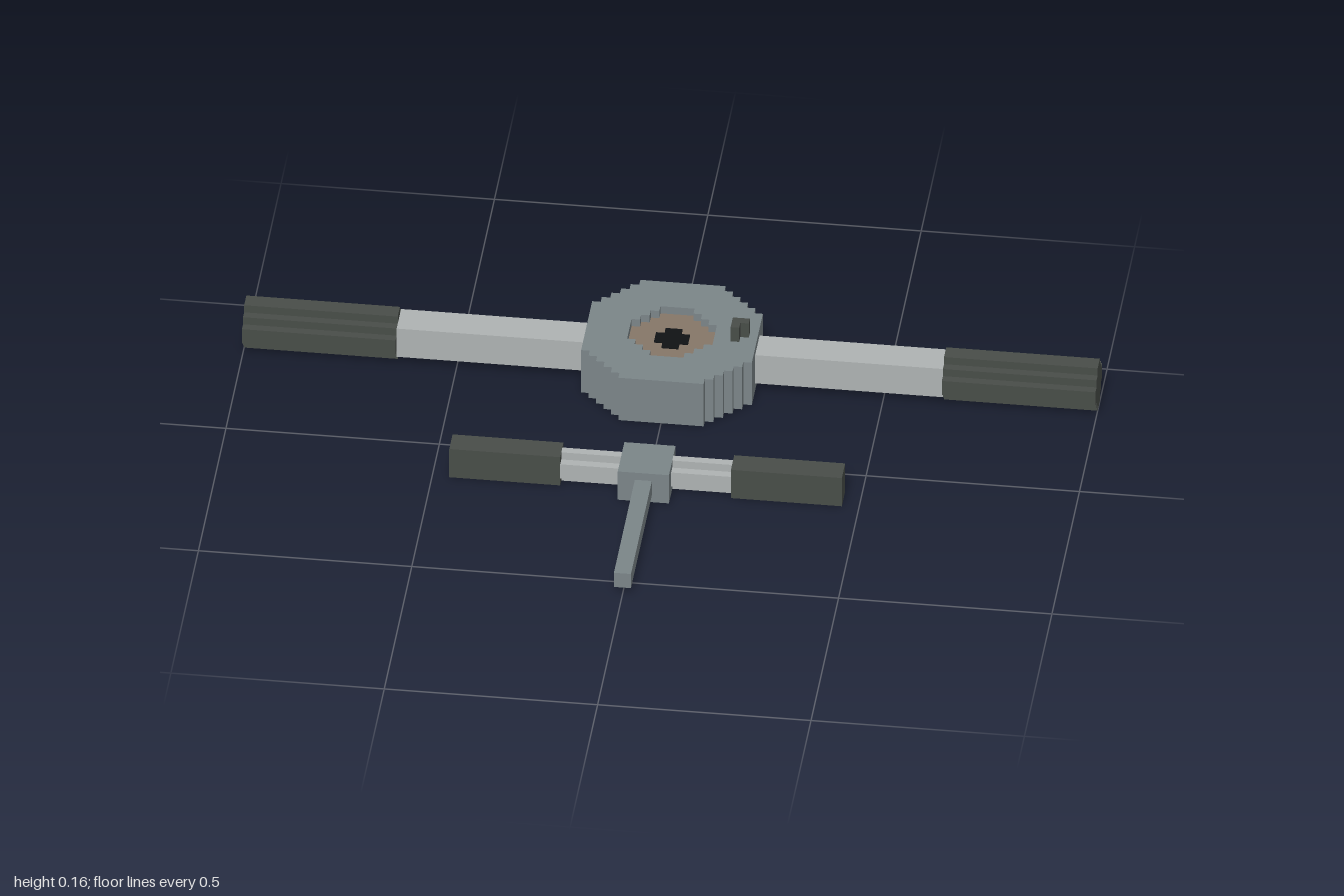
import * as THREE from 'three';

const U = 0.02; // size of one step
const mat = (name, color) => {
  const m = new THREE.MeshStandardMaterial({ color });
  m.name = name;
  return m;
};

// Stepped round outline: radius R, with straight runs of half length flat
function steppedPoints(R, flat) {
  const quarter = [new THREE.Vector2(R, flat)];
  const n = Math.round((R - flat) / U);
  for (let i = 1; i <= n; i++) {
    quarter.push(new THREE.Vector2(R - i * U, flat + (i - 1) * U));
    quarter.push(new THREE.Vector2(R - i * U, flat + i * U));
  }
  const pts = [];
  for (let q = 0; q < 4; q++) {
    for (const p of quarter) {
      let { x, y } = p;
      for (let k = 0; k < q; k++) [x, y] = [-y, x];
      pts.push(new THREE.Vector2(x, y));
    }
  }
  return pts;
}

const extrude = (shape, depth) => new THREE.ExtrudeGeometry(shape, { depth, bevelEnabled: false });

export function createModel() {
  const root = new THREE.Group();
  const steel = mat('steel grey', 0x7b8588);
  const bare = mat('light metal', 0xaeb2b2);
  const grip = mat('dark grip', 0x484d48);
  const tan = mat('tan', 0x857668);
  const black = mat('black', 0x101214);

  const add = (parent, name, geo, material) => {
    const mesh = new THREE.Mesh(geo, material);
    mesh.name = name;
    parent.add(mesh);
    return mesh;
  };
  // Box given by its ranges on each axis
  const box = (parent, name, material, x0, x1, y0, y1, z0, z1) =>
    add(parent, name, new THREE.BoxGeometry(x1 - x0, y1 - y0, z1 - z0), material)
      .position.set((x0 + x1) / 2, (y0 + y1) / 2, (z0 + z1) / 2);
  // Shape standing upright on height y
  const upright = (parent, name, material, shape, y, height) =>
    add(parent, name, extrude(shape, height).rotateX(-Math.PI / 2).translate(0, y, 0), material);

  // Large two-handed tool
  const large = new THREE.Group();
  large.name = 'largeTool';
  large.position.z = -0.35;
  root.add(large);

  const ring = new THREE.Shape(steppedPoints(0.2, 0.1));
  ring.holes.push(new THREE.Path(steppedPoints(0.1, 0.04)));
  upright(large, 'ring', steel, ring, 0, 0.12);
  upright(large, 'insert', tan, new THREE.Shape(steppedPoints(0.1, 0.04)), 0.02, 0.08);
  upright(large, 'centreOpening', black, new THREE.Shape(steppedPoints(0.04, 0.02)), 0.1, 0.002);

  // L-shaped latch on the ring
  box(large, 'latchLeg', grip, 0.14, 0.16, 0.12, 0.16, -0.02, 0.02);
  box(large, 'latchFoot', grip, 0.16, 0.18, 0.12, 0.16, -0.02, 0);

  // Bars and ridged grips
  for (const s of [-1, 1]) {
    const side = s > 0 ? 'left' : 'right';
    const mid = s * 0.42;
    box(large, side + 'Bar', bare, mid - 0.22, mid + 0.22, 0.02, 0.1, -0.04, 0.04);
    const g = extrude(new THREE.Shape(steppedPoints(0.06, 0.02)), 0.36);
    g.translate(0, 0, -0.18).rotateY(Math.PI / 2);
    add(large, side + 'Grip', g, grip).position.set(s * 0.82, 0.06, 0);
  }

  // Small T-shaped tool
  const small = new THREE.Group();
  small.name = 'smallTool';
  small.position.z = 0.11;
  root.add(small);
  box(small, 'hub', steel, -0.06, 0.06, 0, 0.08, -0.06, 0.06);
  box(small, 'shank', steel, -0.02, 0.02, 0.02, 0.06, 0.06, 0.44);

  // Cross-section of the small bars: a plus
  const plus = new THREE.Shape([
    [0.03, -0.02], [0.03, 0.02], [0.01, 0.02], [0.01, 0.04], [-0.01, 0.04], [-0.01, 0.02],
    [-0.03, 0.02], [-0.03, -0.02], [-0.01, -0.02], [-0.01, -0.04], [0.01, -0.04], [0.01, -0.02],
  ].map(([x, y]) => new THREE.Vector2(x, y)));
  for (const s of [-1, 1]) {
    const side = s > 0 ? 'left' : 'right';
    const g = extrude(plus, 0.14).translate(0, 0, -0.07).rotateY(Math.PI / 2);
    add(small, side + 'SmallBar', g, bare).position.set(s * 0.13, 0.04, -0.01);
    const mid = s * 0.33;
    box(small, side + 'SmallGrip', grip, mid - 0.13, mid + 0.13, 0, 0.08, -0.04, 0.02);
  }
  return root;
}
